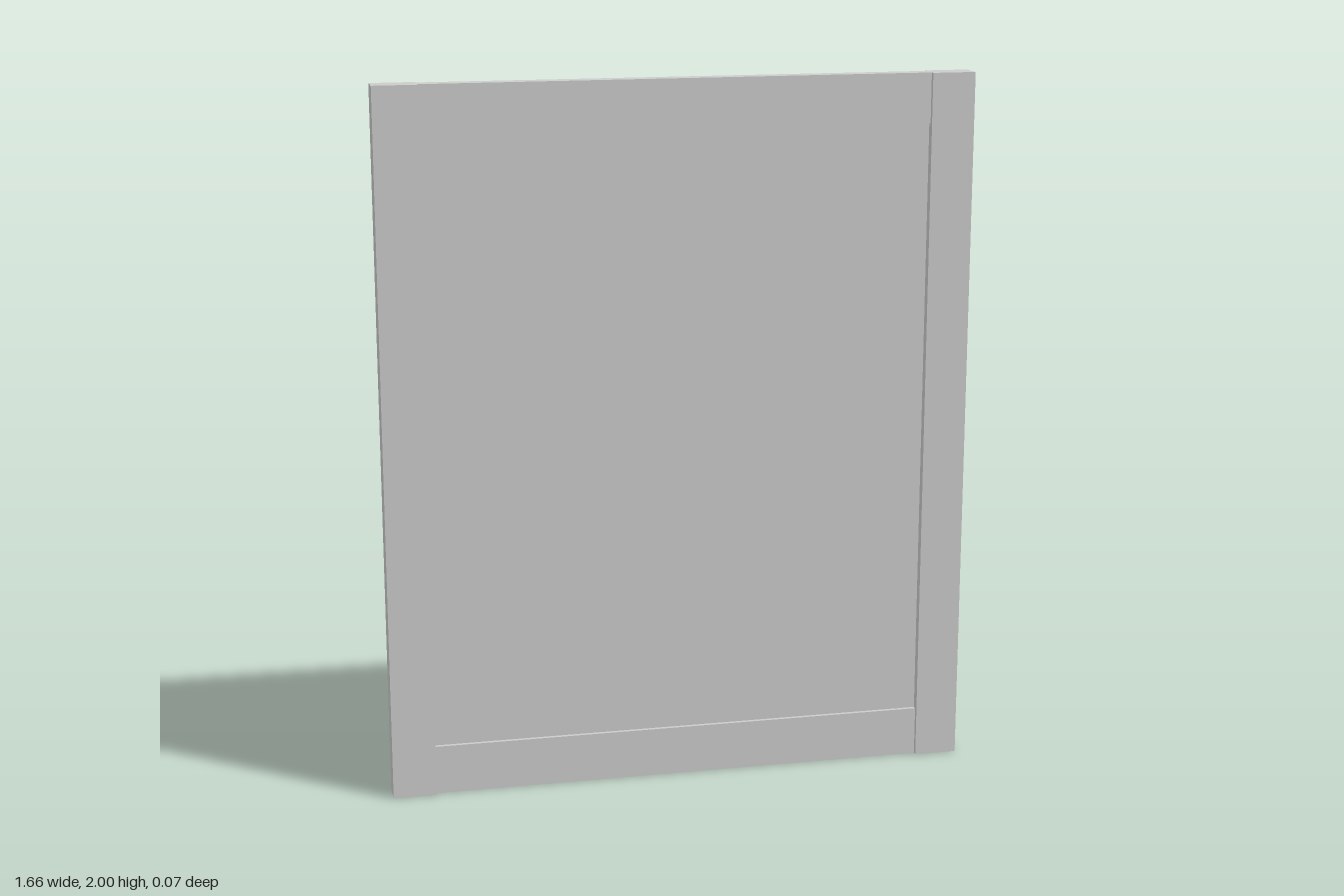
import * as THREE from 'three';

const WIDTH = 1.66, HEIGHT = 2, STILE = 0.122, RAIL = 0.14;
const STILE_DEPTH = 0.07, RAIL_DEPTH = 0.044, PANEL_DEPTH = 0.022;

export function createModel() {
  const group = new THREE.Group();
  group.name = 'framedPanel';
  const material = new THREE.MeshStandardMaterial({ color: 0xcccccc, flatShading: true });

  const addBox = (name, w, h, d, x, y) => {
    const mesh = new THREE.Mesh(new THREE.BoxGeometry(w, h, d), material);
    mesh.name = name;
    mesh.position.set(x, y, 0);
    group.add(mesh);
  };

  const innerWidth = WIDTH - 2 * STILE;

  // Thick upright stiles on both sides
  for (const side of [1, -1]) {
    addBox(side > 0 ? 'leftStile' : 'rightStile', STILE, HEIGHT, STILE_DEPTH,
      side * (WIDTH - STILE) / 2, HEIGHT / 2);
  }

  // Thinner rails between the stiles
  addBox('topRail', innerWidth, RAIL, RAIL_DEPTH, 0, HEIGHT - RAIL / 2);
  addBox('bottomRail', innerWidth, RAIL, RAIL_DEPTH, 0, RAIL / 2);

  // Recessed panel filling the frame
  addBox('panel', innerWidth, HEIGHT - 2 * RAIL, PANEL_DEPTH, 0, HEIGHT / 2);

  return group;
}
